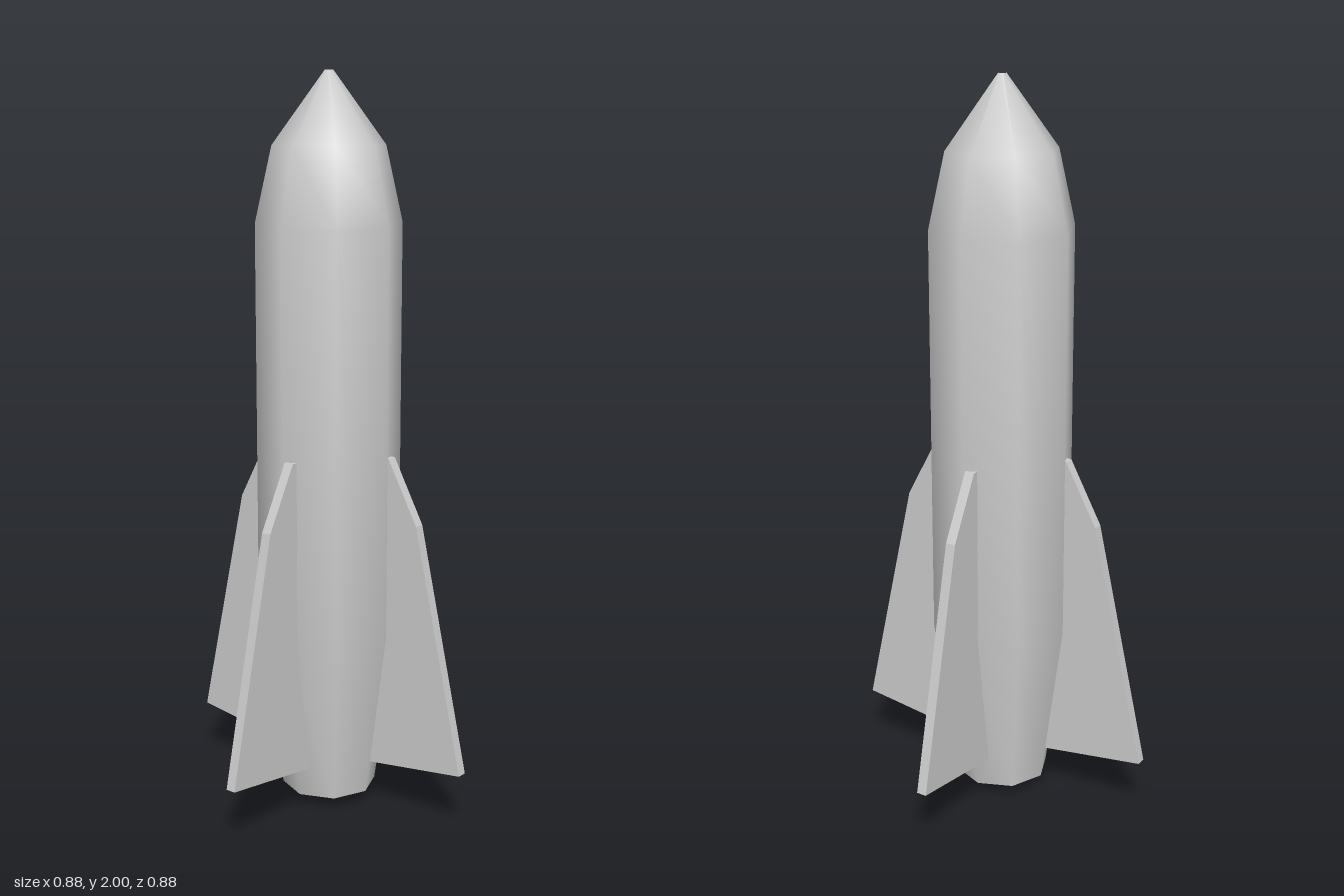
import * as THREE from 'three';
import { toCreasedNormals } from 'three/addons/utils/BufferGeometryUtils.js';

export function createModel() {
  const model = new THREE.Group();
  model.name = 'rocket';
  const grey = new THREE.MeshStandardMaterial({ color: 0xcccccc });

  // Eight-sided hull: blunt tail, taper, straight barrel, two-step nose
  const profile = [
    [0.01, 0], [0.13, 0.035], [0.195, 0.5], [0.195, 1.61], [0.15, 1.81], [0.011, 2],
  ].map(([r, y]) => new THREE.Vector2(r, y));
  const hull = new THREE.Mesh(toCreasedNormals(new THREE.LatheGeometry(profile, 8), 0.95), grey);
  hull.name = 'hull';
  model.add(hull);

  // Swept fin plate, its inner edge tucked just inside the hull
  const outline = new THREE.Shape([
    [0.18, 1.0], [0.195, 1.0], [0.287, 0.83], [0.438, 0.165],
    [0.13, 0.123], [0.18, 0.5],
  ].map(([x, y]) => new THREE.Vector2(x, y)));
  const finGeometry = new THREE.ExtrudeGeometry(outline, { depth: 0.028, bevelEnabled: false });
  finGeometry.translate(0, 0, -0.036); // each fin sits slightly to one side of the axis

  // Four fins in a pinwheel around the tail
  ['leftFin', 'backFin', 'rightFin', 'frontFin'].forEach((name, i) => {
    const fin = new THREE.Mesh(finGeometry, grey);
    fin.name = name;
    fin.rotation.y = (i * Math.PI) / 2;
    model.add(fin);
  });

  return model;
}
